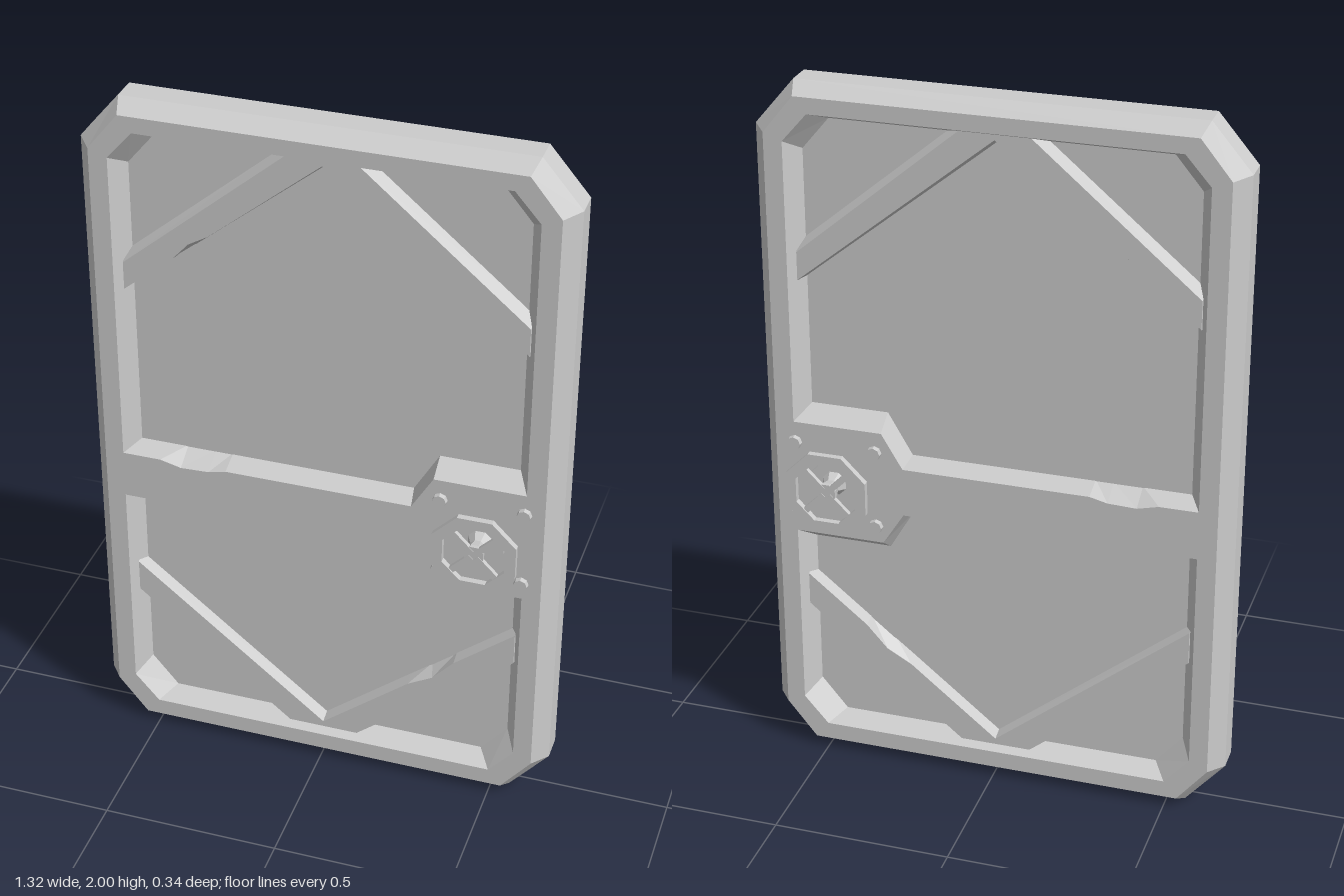
import * as THREE from 'three';

const material = new THREE.MeshStandardMaterial({ color: 0xcccccc, flatShading: true });

// Joins counter-clockwise loops { p: [[x, y], ...], z } with flat faces; optional cap on the last loop
function loft(loops, cap = true) {
  const pos = [];
  const put = (loop, i) => pos.push(loop.p[i][0], loop.p[i][1], loop.z);
  for (let k = 0; k + 1 < loops.length; k++) {
    const a = loops[k], b = loops[k + 1], n = a.p.length;
    for (let i = 0; i < n; i++) {
      const j = (i + 1) % n;
      put(a, i); put(a, j); put(b, j);
      put(a, i); put(b, j); put(b, i);
    }
  }
  if (cap) {
    const last = loops[loops.length - 1];
    const contour = last.p.map(([x, y]) => new THREE.Vector2(x, y));
    for (const f of THREE.ShapeUtils.triangulateShape(contour, [])) f.forEach((i) => put(last, i));
  }
  const geo = new THREE.BufferGeometry();
  geo.setAttribute('position', new THREE.Float32BufferAttribute(pos, 3));
  geo.computeVertexNormals();
  return geo;
}

// Copy of a geometry mirrored front to back, with the corner order reversed
function mirrorZ(geo) {
  const g = geo.index ? geo.toNonIndexed() : geo.clone();
  const p = g.attributes.position;
  for (let i = 0; i < p.count; i += 3) {
    const v = [0, 2, 1].map((k) => [p.getX(i + k), p.getY(i + k), -p.getZ(i + k)]);
    v.forEach((c, k) => p.setXYZ(i + k, ...c));
  }
  g.computeVertexNormals();
  return g;
}

// Upright rectangle with cut corners
const cutRect = (w, y0, y1, cx, cy) => [
  [w - cx, y0], [w, y0 + cy], [w, y1 - cy], [w - cx, y1],
  [cx - w, y1], [-w, y1 - cy], [-w, y0 + cy], [cx - w, y0],
];

// Regular octagon around the wheel axis, given by its half width across flats
const WX = 0.45, WY = 0.875;
const octagon = (half) => Array.from({ length: 8 }, (_, i) => {
  const a = (i + 0.5) * Math.PI / 4, r = half / Math.cos(Math.PI / 8);
  return [WX + r * Math.cos(a), WY + r * Math.sin(a)];
});

export function createModel() {
  const door = new THREE.Group();
  door.name = 'door';
  const sides = { front: new THREE.Group(), back: new THREE.Group() };
  for (const [name, group] of Object.entries(sides)) {
    group.name = name + 'Side';
    door.add(group);
  }
  const add = (name, geo) => {
    for (const [side, group] of Object.entries(sides)) {
      const mesh = new THREE.Mesh(side === 'front' ? geo : mirrorZ(geo), material);
      mesh.name = name;
      group.add(mesh);
    }
  };
  const FACE = 0.09, PANEL = 0.03;

  // Bevelled outer frame and the recessed panel
  const outer = cutRect(0.66, 0, 2, 0.11, 0.13);
  const inner = cutRect(0.535, 0.105, 1.9, 0.075, 0.09);
  add('frame', loft([
    { p: outer, z: 0 },
    { p: outer, z: 0.037 },
    { p: cutRect(0.62, 0.03, 1.97, 0.085, 0.105), z: FACE },
    { p: cutRect(0.568, 0.08, 1.925, 0.07, 0.08), z: FACE },
    { p: inner, z: PANEL },
  ], false));
  add('panel', loft([{ p: inner, z: PANEL }]));

  // Crossbar widening into the lock plate, with worn dents along its edges
  add('crossbar', loft([
    { p: [
      [-0.57, 0.78], [-0.08, 0.78], [0.0, 0.78], [0.06, 0.78], [0.1, 0.78], [0.245, 0.78],
      [0.315, 0.66], [0.565, 0.66], [0.565, 1.08], [0.315, 1.08], [0.245, 0.96],
      [-0.27, 0.96], [-0.32, 0.96], [-0.4, 0.96], [-0.46, 0.96], [-0.57, 0.96],
    ], z: PANEL - 0.005 },
    { p: [
      [-0.57, 0.8], [-0.08, 0.8], [0.0, 0.815], [0.06, 0.81], [0.1, 0.8], [0.255, 0.8],
      [0.315, 0.705], [0.568, 0.705], [0.568, 1.04], [0.315, 1.04], [0.255, 0.94],
      [-0.27, 0.94], [-0.32, 0.928], [-0.4, 0.925], [-0.46, 0.94], [-0.57, 0.94],
    ], z: FACE },
  ]));

  // Chevron braces, each with one worn dent
  add('upperBrace', loft([
    { p: [
      [-0.555, 1.435], [-0.41, 1.555], [-0.36, 1.595], [-0.31, 1.635], [0, 1.885], [0.555, 1.435],
      [0.555, 1.55], [0.11, 1.925], [-0.11, 1.925], [-0.555, 1.55],
    ], z: PANEL - 0.005 },
    { p: [
      [-0.55, 1.45], [-0.41, 1.565], [-0.365, 1.615], [-0.31, 1.647], [0, 1.9], [0.55, 1.45],
      [0.55, 1.53], [0.09, 1.92], [-0.09, 1.92], [-0.55, 1.53],
    ], z: 0.065 },
  ]));
  add('lowerBrace', loft([
    { p: [
      [-0.555, 0.45], [-0.11, 0.085], [0.11, 0.085], [0.555, 0.45], [0.555, 0.57],
      [0.38, 0.428], [0.31, 0.371], [0.25, 0.323], [0, 0.12], [-0.555, 0.57],
    ], z: PANEL - 0.005 },
    { p: [
      [-0.55, 0.46], [-0.1, 0.09], [0.1, 0.09], [0.55, 0.46], [0.55, 0.555],
      [0.38, 0.417], [0.32, 0.35], [0.25, 0.311], [0, 0.108], [-0.55, 0.555],
    ], z: 0.065 },
  ]));

  // Rivets at the corners of the lock plate
  for (const x of [0.335, 0.565]) {
    for (const y of [0.755, 0.98]) {
      const rivet = new THREE.CylinderGeometry(0.019, 0.021, 0.018, 8);
      rivet.rotateX(Math.PI / 2).translate(x, y, 0.095);
      add('rivet', rivet);
    }
  }

  // Handwheel: base plate, waisted stem, rim and four spokes
  add('wheelBase', loft([{ p: octagon(0.065), z: 0.085 }, { p: octagon(0.065), z: 0.1 }]));
  add('wheelStem', loft([
    { p: octagon(0.033), z: 0.1 },
    { p: octagon(0.02), z: 0.125 },
    { p: octagon(0.026), z: 0.155 },
    { p: octagon(0.026), z: 0.166 },
  ]));
  const rimOut = octagon(0.115), rimIn = octagon(0.085);
  add('wheelRim', loft([
    { p: rimOut, z: 0.153 }, { p: rimOut, z: 0.171 },
    { p: rimIn, z: 0.171 }, { p: rimIn, z: 0.153 }, { p: rimOut, z: 0.153 },
  ], false));
  for (let i = 0; i < 4; i++) {
    const spoke = new THREE.BoxGeometry(0.085, 0.017, 0.013).translate(0.052, 0, 0);
    spoke.rotateZ(Math.PI / 4 + i * Math.PI / 2).translate(WX, WY, 0.161);
    add('wheelSpoke', spoke);
  }
  return door;
}
